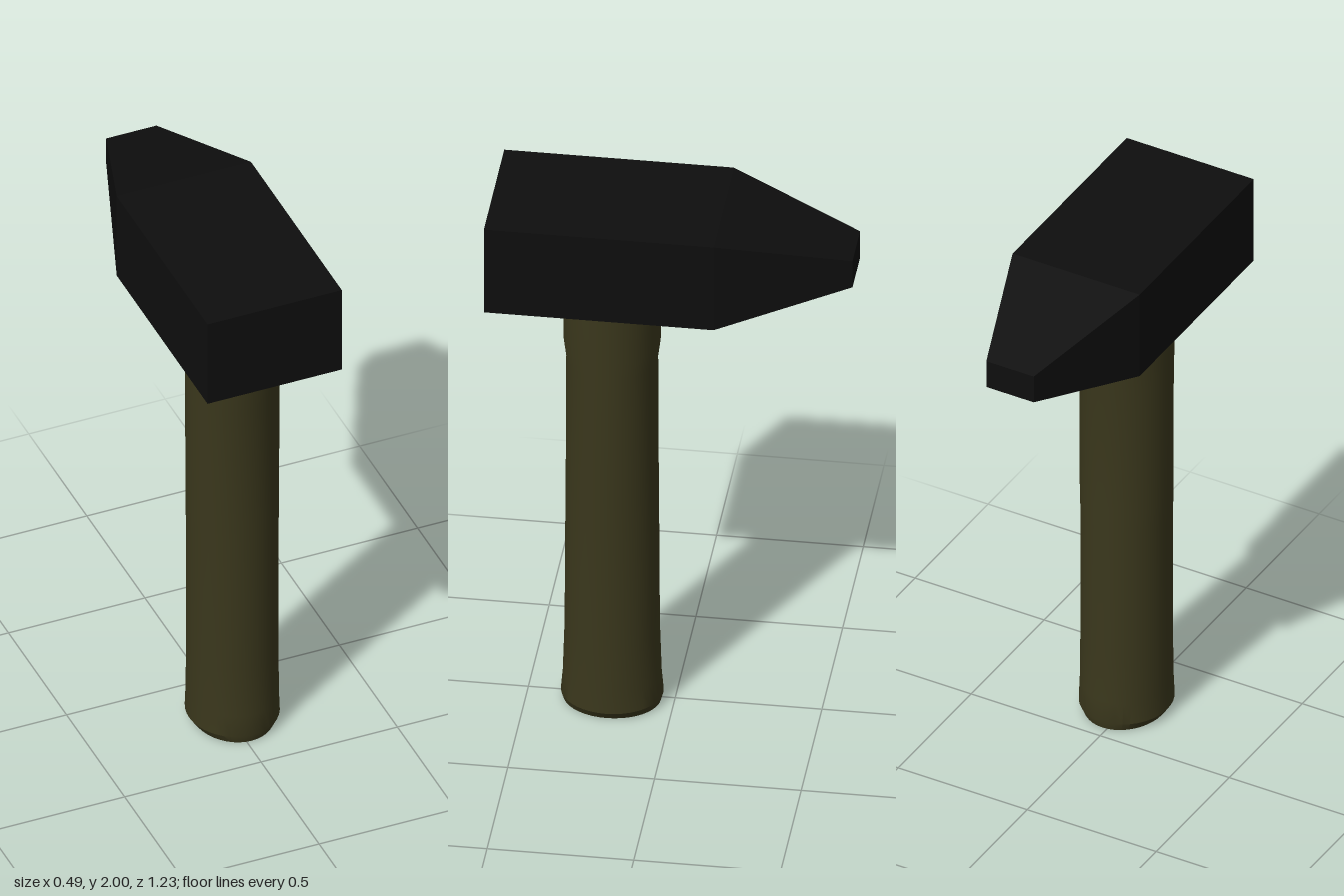
import * as THREE from 'three';
import { toCreasedNormals } from 'three/addons/utils/BufferGeometryUtils.js';

// Square block whose rear end tapers to a small blunt tip
function makeHead() {
  const halfW = 0.246, halfH = 0.1675, halfL = 0.617, shoulderZ = -0.165;
  const geo = new THREE.BoxGeometry(2 * halfW, 2 * halfH, 2 * halfL, 1, 1, 2);
  const p = geo.attributes.position;
  for (let i = 0; i < p.count; i++) {
    const z = p.getZ(i);
    if (Math.abs(z) < 0.01) p.setZ(i, shoulderZ);
    else if (z < 0) {
      p.setX(i, Math.sign(p.getX(i)) * 0.092);
      p.setY(i, Math.sign(p.getY(i)) * 0.053);
    }
  }
  const head = new THREE.Mesh(geo, new THREE.MeshStandardMaterial({ color: 0x0e0e0e, flatShading: true }));
  head.name = 'head';
  head.position.y = 2 - halfH;
  return head;
}

// Oval handle lofted from sections of [height, half width, half depth]
function makeHandle() {
  const sections = [
    [0, 0.138, 0.166], [0.03, 0.158, 0.174], [0.11, 0.156, 0.167],
    [0.3, 0.155, 0.161], [0.8, 0.156, 0.158], [0.9, 0.159, 0.157],
    [1.38, 0.16, 0.155], [1.45, 0.16, 0.164], [1.75, 0.16, 0.165],
  ];
  const profile = sections.map(([y, rx]) => new THREE.Vector2(rx, y));
  profile.unshift(new THREE.Vector2(0, 0));
  profile.push(new THREE.Vector2(0, 1.75));
  let geo = new THREE.LatheGeometry(profile, 40);

  // Stretch each ring to its own depth
  const p = geo.attributes.position;
  for (let i = 0; i < p.count; i++) {
    const s = sections.find(([y]) => Math.abs(y - p.getY(i)) < 1e-4);
    p.setZ(i, p.getZ(i) * s[2] / s[1]);
  }
  geo = toCreasedNormals(geo, 0.45);

  const handle = new THREE.Mesh(geo, new THREE.MeshStandardMaterial({ color: 0x3a371c }));
  handle.name = 'handle';
  handle.position.set(0.017, 0, 0.212);
  return handle;
}

export function createModel() {
  const hammer = new THREE.Group();
  hammer.name = 'hammer';
  hammer.add(makeHead(), makeHandle());
  return hammer;
}
